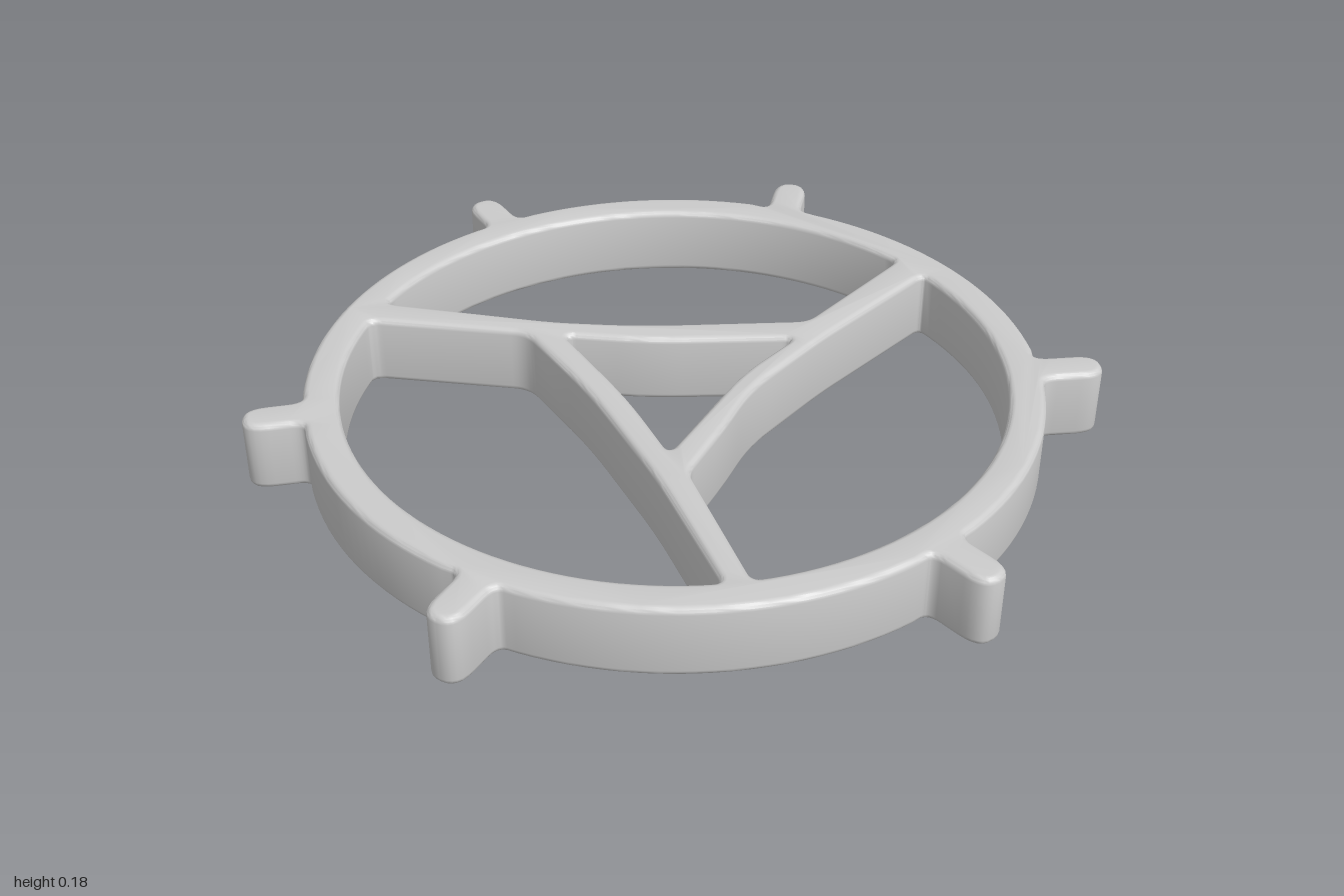
import * as THREE from 'three';
import { toCreasedNormals } from 'three/addons/utils/BufferGeometryUtils.js';

const HEIGHT = 0.18, BEVEL = 0.016;
const CX = 0.01, CZ = 0.02, OUTER = 0.88, INNER = 0.793;

const onCircle = (radius, a) => [CX + radius * Math.cos(a), CZ + radius * Math.sin(a)];
const angleOf = ([x, z]) => Math.atan2(z - CZ, x - CX);
const rad = THREE.MathUtils.degToRad;

// Points along an arc, from angle a to angle b
function arc(radius, a, b) {
  const n = Math.max(2, Math.ceil((b - a) / 0.045));
  return Array.from({ length: n + 1 }, (_, i) => onCircle(radius, a + (b - a) * i / n));
}

// Closed outline of [x, z, r] points; a corner with r is rounded by a curve
function outline(points) {
  const out = [];
  points.forEach(([x, z, r], i) => {
    const p = new THREE.Vector2(x, -z);
    if (!r) return out.push(p);
    const toward = (q) => {
      const d = new THREE.Vector2(q[0], -q[1]).sub(p);
      return p.clone().addScaledVector(d, Math.min(r / d.length(), 0.48));
    };
    const before = toward(points.at(i - 1)), after = toward(points[(i + 1) % points.length]);
    out.push(...new THREE.QuadraticBezierCurve(before, p, after).getPoints(6));
  });
  return out;
}

// Outer edge: the rim with six round-ended pegs, each [base, tip]
function rimWithPegs() {
  const pegs = [
    [[0.85, 0.28], [0.998, 0.312]],
    [[0.34, 0.82], [0.4, 0.968]],
    [[-0.62, 0.62], [-0.735, 0.722]],
    [[-0.85, -0.095], [-1.0, -0.112]],
    [[-0.185, -0.82], [-0.218, -0.973]],
    [[0.565, -0.67], [0.635, -0.793]],
  ];
  const points = [], half = 0.044, gap = 0.1;
  pegs.forEach(([base, tip], i) => {
    const dir = new THREE.Vector2(tip[0] - base[0], tip[1] - base[1]).normalize();
    const side = [-dir.y * half, dir.x * half];
    const a = angleOf(base);
    const root = onCircle(OUTER - 0.003, a);
    for (const [p, s, r] of [[root, -1, 0.035], [tip, -1, 0.06], [tip, 1, 0.06], [root, 1, 0.035]]) {
      points.push([p[0] + s * side[0], p[1] + s * side[1], r]);
    }
    let b = angleOf(pegs[(i + 1) % pegs.length][0]);
    if (b < a) b += Math.PI * 2;
    points.push(...arc(OUTER, a + gap, b - gap));
  });
  return outline(points);
}

// Opening between the rim and two spokes
function rimOpening(fromDeg, toDeg, spokeEdge) {
  const a = rad(fromDeg), b = rad(toDeg);
  return outline([
    [...onCircle(INNER, a), 0.03],
    ...arc(INNER, a + 0.05, b - 0.05),
    [...onCircle(INNER, b), 0.03],
    ...spokeEdge,
  ]);
}

export function createModel() {
  const group = new THREE.Group();
  const shape = new THREE.Shape(rimWithPegs());

  const openings = [
    // back
    rimOpening(222.5, 336, [[0.4, -0.1, 0.03], [0, -0.212, 0.1], [-0.2, -0.298, 0.06]]),
    // front left
    rimOpening(-17, 97, [[-0.088, 0.41, 0.03], [0.05, 0.27, 0.06], [0.16, 0.145, 0.08], [0.41, -0.015, 0.06]]),
    // front right
    rimOpening(101.5, 216, [[-0.277, -0.268, 0.04], [-0.207, 0.03, 0.1], [-0.163, 0.4, 0.08]]),
    // middle triangle
    outline([
      [-0.192, -0.228, 0.03], [0, -0.136, 0.08], [0.34, -0.034, 0.03],
      [0.16, 0.075, 0.08], [-0.105, 0.325, 0.03], [-0.127, 0.08, 0.1],
    ]),
  ];
  // Openings run the opposite way round to the outer edge, so their walls face inward
  shape.holes = openings.map((points) => new THREE.Path(points.reverse()));

  const geometry = new THREE.ExtrudeGeometry(shape, {
    depth: HEIGHT - 2 * BEVEL, bevelEnabled: true, bevelThickness: BEVEL,
    bevelSize: BEVEL, bevelOffset: -BEVEL, bevelSegments: 4,
  });
  geometry.translate(0, 0, BEVEL);
  geometry.rotateX(-Math.PI / 2);

  const wheel = new THREE.Mesh(
    toCreasedNormals(geometry, rad(40)),
    new THREE.MeshStandardMaterial({ color: 0xcccccc }),
  );
  wheel.name = 'peggedWheelWithSpokes';
  group.add(wheel);
  return group;
}
